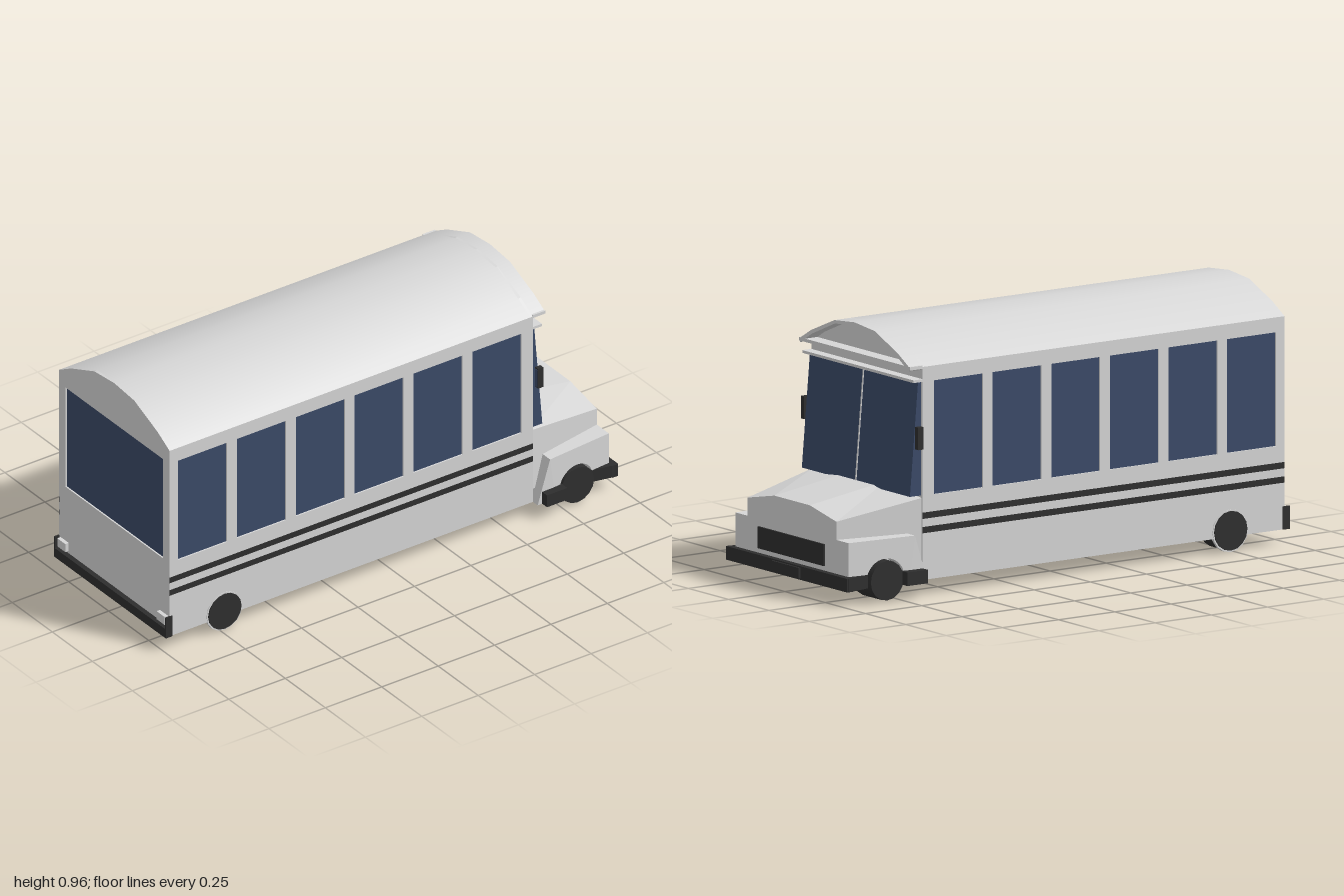
import * as THREE from 'three';
import { toCreasedNormals } from 'three/addons/utils/BufferGeometryUtils.js';

const mat = (name, color) => new THREE.MeshStandardMaterial({ name, color });

export function createModel() {
  const bus = new THREE.Group();
  bus.name = 'bus';
  const paint = mat('body paint', 0xd6d6d6);
  const glass = mat('dark blue glass', 0x3b4a68);
  const black = mat('black trim', 0x2e2e2e);

  const add = (name, geo, material) => {
    const mesh = new THREE.Mesh(geo, material);
    mesh.name = name;
    bus.add(mesh);
    return mesh;
  };
  // Box given by its limits on each axis
  const box = (name, m, x0, x1, y0, y1, z0, z1) =>
    add(name, new THREE.BoxGeometry(x1 - x0, y1 - y0, z1 - z0)
      .translate((x0 + x1) / 2, (y0 + y1) / 2, (z0 + z1) / 2), m);
  const shapeOf = pts => new THREE.Shape(pts.map(p => new THREE.Vector2(...p)));
  const rectHole = (x0, x1, y0, y1) =>
    new THREE.Path([[x0, y0], [x1, y0], [x1, y1], [x0, y1]].map(p => new THREE.Vector2(...p)));
  const extrude = (shape, depth) =>
    new THREE.ExtrudeGeometry(shape, { depth, bevelEnabled: false, curveSegments: 10 });
  // Side profile in (-z, y), extruded along x
  const sideExtrude = (shape, x0, x1) =>
    extrude(shape, x1 - x0).rotateY(Math.PI / 2).translate(x0, 0, 0);

  const W = 0.345, REAR = 0.975, FRONT = -0.635, EAVE = 0.835, SILL = 0.36, HEAD = 0.78;

  // Cabin core and black floor
  box('cabinCore', paint, -0.33, 0.33, 0.06, EAVE, FRONT + 0.005, 0.96);
  box('floor', black, -W + 0.001, W - 0.001, 0.05, 0.06, FRONT, REAR - 0.001);

  // Arched roof shell with front overhang
  const half = [[W, EAVE], [0.27, 0.878], [0.125, 0.938], [0, 0.95]];
  const arch = [...half, ...half.slice(0, 3).reverse().map(([x, y]) => [-x, y])];
  const inner = arch.map(([x, y]) => [x * 0.975, y - 0.012]).reverse();
  add('roof', toCreasedNormals(extrude(shapeOf([...arch, ...inner]), 1.665).translate(0, 0, -0.69), 0.6), paint);
  box('visorLip', paint, -W, W, 0.828, 0.84, -0.69, FRONT);

  // End walls follow the arch
  const endOutline = [[-W, 0.05], [W, 0.05], ...arch];
  add('frontWall', extrude(shapeOf(endOutline), 0.012).translate(0, 0, FRONT), paint);
  const rearShape = shapeOf(endOutline);
  rearShape.holes.push(rectHole(-0.305, 0.305, SILL, HEAD));
  add('rearWall', extrude(rearShape, 0.012).translate(0, 0, REAR - 0.012), paint);
  box('rearWindow', glass, -0.305, 0.305, SILL, HEAD, 0.96, 0.969);

  // Side walls with six window openings
  const sideShape = shapeOf([[-REAR, 0.05], [-FRONT, 0.05], [-FRONT, EAVE], [-REAR, EAVE]]);
  const windows = [];
  for (let i = 0; i < 6; i++) {
    const s = -0.937 + i * 0.2608;
    windows.push([s, s + 0.217]);
    sideShape.holes.push(rectHole(s, s + 0.217, SILL, HEAD));
  }
  for (const side of [1, -1]) {
    const label = side > 0 ? 'left' : 'right';
    const sideBox = (name, m, x0, x1, ...rest) =>
      box(label + name, m, Math.min(side * x0, side * x1), Math.max(side * x0, side * x1), ...rest);
    const x0 = side > 0 ? W - 0.012 : -W;
    add(label + 'Wall', sideExtrude(sideShape, x0, x0 + 0.012), paint);
    windows.forEach(([a, b]) => sideBox('Window', glass, 0.329, 0.339, SILL, HEAD, -b, -a));
    for (const y of [0.222, 0.275])
      sideBox('Stripe', black, W - 0.002, W + 0.001, y, y + 0.023, FRONT, REAR);

    // Wheels and the pale rim of the rear arch
    const wheel = (name, m, r, xa, xb, z) =>
      add(label + name, new THREE.CylinderGeometry(r, r, xb - xa, 16).rotateZ(Math.PI / 2)
        .translate(side * (xa + xb) / 2, 0.073, z), m);
    wheel('RearWheel', black, 0.073, 0.258, 0.351, 0.733);
    wheel('RearArch', paint, 0.079, 0.335, 0.347, 0.733);
    wheel('FrontWheel', black, 0.073, 0.262, 0.374, -0.813);

    // Mirror, tail lamp and bumper ends
    sideBox('Mirror', black, W, 0.364, 0.535, 0.618, -0.668, -0.645);
    sideBox('MirrorGlass', glass, W + 0.002, 0.361, 0.54, 0.612, -0.646, -0.643);
    sideBox('TailLamp', paint, 0.285, 0.335, 0.098, 0.132, REAR, 0.99);
    sideBox('RearBumperEnd', black, W - 0.002, 0.35, 0.05, 0.135, 0.965, 0.995);
    sideBox('BumperTail', black, 0.33, 0.405, 0.05, 0.1, -0.745, -0.655);
    const sideBar = shapeOf([[0.3, 0.885], [0.355, 0.885], [0.377, 0.985], [0.3, 0.985]]
      .map(([x, s]) => [side * x, s]));
    add(label + 'BumperSide', extrude(sideBar, 0.05).rotateX(-Math.PI / 2).translate(0, 0.05, 0), black);
  }

  // Bumpers and grille
  box('rearBumper', black, -W, W, 0.05, 0.088, REAR, 0.995);
  box('frontBumper', black, -0.375, 0.375, 0.05, 0.1, -0.992, -0.965);
  box('bumperCentre', black, -0.085, 0.085, 0.055, 0.095, -1, -0.99);
  box('noseFloor', black, -0.262, 0.262, 0.05, 0.1, -0.97, FRONT);
  box('grille', black, -0.205, 0.205, 0.118, 0.198, -0.975, -0.966);

  // Windshield leaning forward at its foot, with a centre post and cap
  add('windshield', sideExtrude(shapeOf([[0.63, SILL], [0.684, SILL], [0.648, HEAD], [0.63, HEAD]]),
    -0.335, 0.335), glass);
  add('windshieldPost', sideExtrude(shapeOf([[0.63, SILL], [0.687, SILL], [0.651, HEAD], [0.63, HEAD]]),
    -0.003, 0.003), paint);
  box('windshieldCap', paint, -W, W, HEAD, 0.79, -0.675, FRONT);

  // Fenders with wheel arches, narrowing toward the nose
  const fender = new THREE.Shape();
  fender.moveTo(0.635, 0.05);
  fender.lineTo(0.715, 0.05);
  fender.lineTo(0.735, 0.1);
  fender.absarc(0.813, 0.073, 0.08, Math.PI - 0.34, 0.34, true);
  fender.lineTo(0.968, 0.1);
  fender.lineTo(0.968, 0.225);
  fender.lineTo(0.69, 0.225);
  const fenderGeo = sideExtrude(fender, -1, 1);
  const p = fenderGeo.attributes.position;
  for (let i = 0; i < p.count; i++) {
    const t = THREE.MathUtils.clamp((-p.getZ(i) - 0.69) / 0.278, 0, 1);
    p.setX(i, p.getX(i) * (0.375 - 0.025 * t));
  }
  fenderGeo.computeVertexNormals();
  add('fenders', fenderGeo, paint);

  // Hood lofted from the cabin to the nose with a flat raised centre
  const section = (w, yEdge, yTop, z) =>
    [[w, 0.1], [w, yEdge], [0.11, yTop], [-0.11, yTop], [-w, yEdge], [-w, 0.1]].map(([x, y]) => [x, y, z]);
  const back = section(0.34, 0.352, 0.376, -0.63);
  const nose = section(0.275, 0.292, 0.326, -0.968);
  const verts = [];
  for (let i = 0; i < 5; i++)
    verts.push(back[i], nose[i], nose[i + 1], back[i], nose[i + 1], back[i + 1]);
  for (let i = 1; i < 5; i++) verts.push(nose[0], nose[i + 1], nose[i]);
  const hood = new THREE.BufferGeometry();
  hood.setAttribute('position', new THREE.Float32BufferAttribute(verts.flat(), 3));
  hood.computeVertexNormals();
  add('hood', hood, new THREE.MeshStandardMaterial().copy(paint)).material = paint;

  return bus;
}
